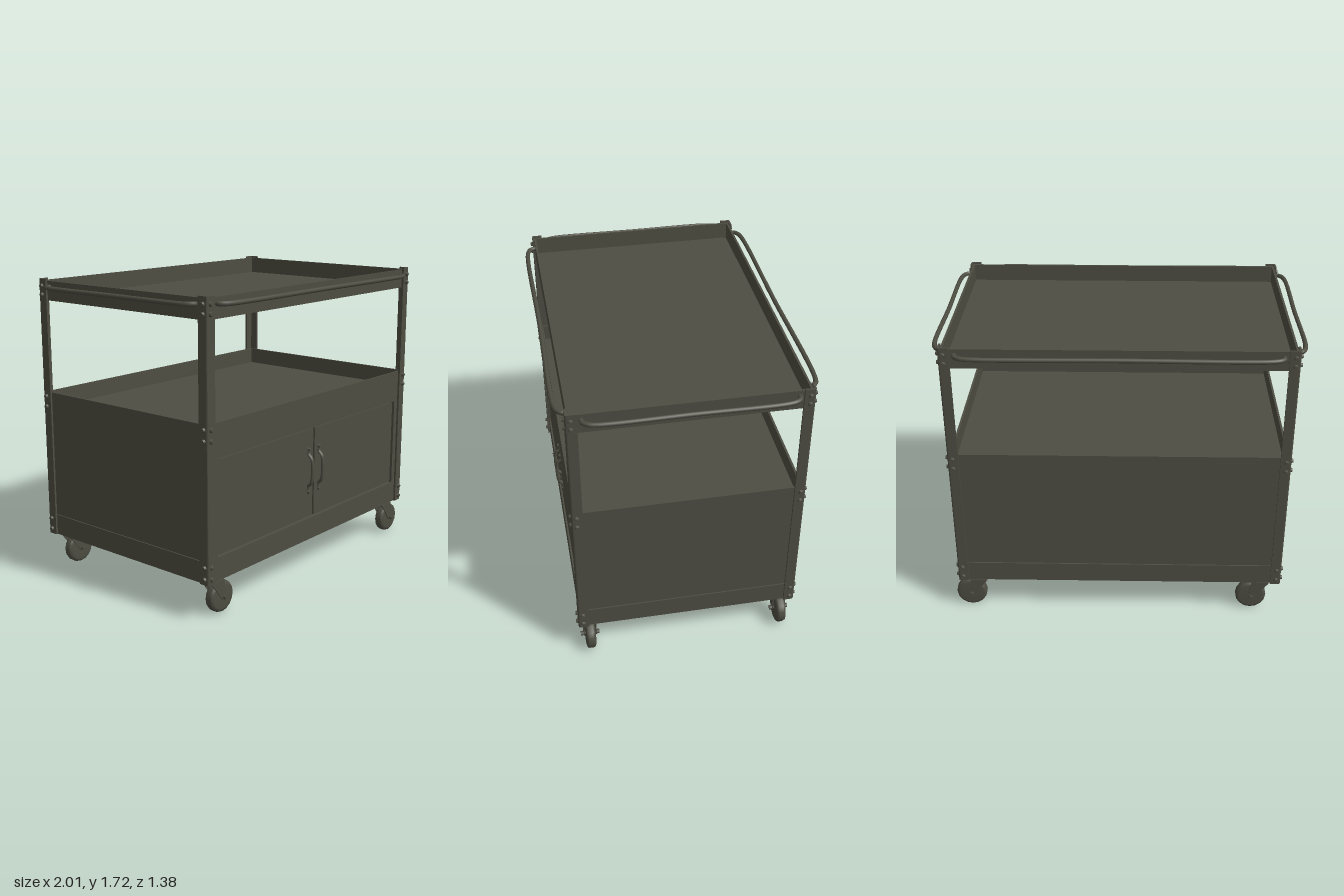
import * as THREE from 'three';

export function createModel() {
  const cart = new THREE.Group();
  cart.name = 'utilityCart';
  const steel = new THREE.MeshStandardMaterial({ color: 0x4d4d42 });
  steel.name = 'olive grey steel';

  const add = (name, geo, x = 0, y = 0, z = 0, parent = cart) => {
    const m = new THREE.Mesh(geo, steel);
    m.name = name;
    m.position.set(x, y, z);
    parent.add(m);
    return m;
  };
  const box = (name, w, h, d, x, y, z, parent) => add(name, new THREE.BoxGeometry(w, h, d), x, y, z, parent);

  const HX = 0.935, HZ = 0.62, T = 0.012;

  // Trays: four thin walls around a floor plate
  const tray = (name, y0, y1, floorY) => {
    const g = new THREE.Group();
    g.name = name;
    const h = y1 - y0, y = (y0 + y1) / 2;
    for (const s of [-1, 1]) {
      box('trayLongWall', HX * 2, h, T, 0, y, s * (HZ - T / 2), g);
      box('traySideWall', T, h, (HZ - T) * 2, s * (HX - T / 2), y, 0, g);
    }
    box('trayFloor', (HX - T) * 2, T, (HZ - T) * 2, 0, floorY, 0, g);
    cart.add(g);
  };
  tray('topTray', 1.6, 1.71, 1.606);
  tray('middleTray', 0.88, 1.07, 0.966);
  tray('bottomTray', 0.21, 0.33, 0.216);

  // Cabinet panels
  for (const s of [-1, 1]) box('sidePanel', T, 0.66, 1.22, s * 0.922, 0.605, 0);
  box('backPanel', 1.85, 0.66, T, 0, 0.605, -0.606);

  // Front frame with the door opening
  const frame = new THREE.Shape([[-0.925, 0.3], [0.925, 0.3], [0.925, 0.92], [-0.925, 0.92]].map(p => new THREE.Vector2(...p)));
  frame.holes.push(new THREE.Path([[-0.855, 0.34], [-0.855, 0.88], [0.855, 0.88], [0.855, 0.34]].map(p => new THREE.Vector2(...p))));
  add('doorFrame', new THREE.ExtrudeGeometry(frame, { depth: 0.03, bevelEnabled: false }), 0, 0, 0.589);
  box('doorBacking', 1.75, 0.58, 0.006, 0, 0.61, 0.59);

  // Doors and pull handles
  const bolt = (name, x, y, z, axis, sign, r = 0.015, parent = cart) => {
    const m = add(name, new THREE.CylinderGeometry(r * 0.65, r, 0.014, 8), x, y, z, parent);
    if (axis === 'x') m.rotation.z = -sign * Math.PI / 2;
    else m.rotation.x = sign * Math.PI / 2;
  };
  for (const s of [-1, 1]) {
    box('door', 0.838, 0.524, 0.016, s * 0.426, 0.61, 0.602);
    const pull = new THREE.CatmullRomCurve3([
      [0, 0.5, 0.608], [0, 0.535, 0.612], [0, 0.56, 0.634], [0, 0.7, 0.634], [0, 0.725, 0.612], [0, 0.76, 0.608],
    ].map(p => new THREE.Vector3(...p)));
    const handle = add('doorHandle', new THREE.TubeGeometry(pull, 30, 0.009, 6), s * 0.05, 0, 0);
    handle.scale.x = 1.4;
    for (const y of [0.5, 0.755]) bolt('handleBolt', s * 0.05, y, 0.617, 'z', 1, 0.013);
  }

  // Angle-section corner posts with bolts on both outer faces
  const angle = new THREE.Shape();
  angle.moveTo(0, 0.06);
  angle.lineTo(0, 0.012).quadraticCurveTo(0, 0, 0.012, 0);
  angle.lineTo(0.06, 0).lineTo(0.06, T).lineTo(T, T).lineTo(T, 0.06).closePath();
  const postGeo = new THREE.ExtrudeGeometry(angle, { depth: 1.51, bevelEnabled: false, curveSegments: 4 });
  postGeo.rotateX(-Math.PI / 2);
  const turns = { '-1,1': 0, '1,1': 1, '1,-1': 2, '-1,-1': 3 };
  for (const sx of [-1, 1]) for (const sz of [-1, 1]) {
    const post = add('cornerPost', postGeo, sx * 0.947, 0.21, sz * 0.632);
    post.rotation.y = turns[`${sx},${sz}`] * Math.PI / 2;
    for (const y of [1.68, 1.63, 1.045, 0.985, 0.305, 0.24]) {
      bolt('postBolt', sx * 0.92, y, sz * 0.637, 'z', sz);
      bolt('postBolt', sx * 0.952, y, sz * 0.605, 'x', sx);
    }
  }

  // Bent push rails on all four sides of the top tray
  const rail = (half, base, reach, turn) => {
    const right = [[half - 0.07, reach], [half - 0.02, reach - 0.014], [half, reach - 0.035], [half, base - 0.005]];
    const pts = [...right.slice().reverse().map(([x, z]) => [-x, z]), [0, reach], ...right];
    const path = new THREE.CatmullRomCurve3(pts.map(([x, z]) => new THREE.Vector3(x, 0, z)));
    add('pushRail', new THREE.TubeGeometry(path, 140, 0.013, 8), 0, 1.677, 0).rotation.y = turn;
  };
  for (const t of [0, Math.PI]) {
    rail(0.86, HZ, 0.672, t);
    rail(0.55, HX, 0.987, t + Math.PI / 2);
  }

  // Swivel casters, all trailing the same way
  const wheelGeo = new THREE.LatheGeometry(
    [[0, -0.028], [0.07, -0.028], [0.085, -0.023], [0.09, -0.012], [0.09, 0.012], [0.085, 0.023], [0.07, 0.028], [0, 0.028]]
      .map(p => new THREE.Vector2(...p)), 16);
  wheelGeo.rotateX(Math.PI / 2);
  const cheek = new THREE.Shape([[-0.05, 0.19], [0.05, 0.19], [0.07, 0.1], [0.058, 0.075], [0.04, 0.075], [-0.02, 0.15]].map(p => new THREE.Vector2(...p)));
  const cheekGeo = new THREE.ExtrudeGeometry(cheek, { depth: 0.006, bevelEnabled: false });
  for (const sx of [-1, 1]) for (const sz of [-1, 1]) {
    const caster = new THREE.Group();
    caster.name = 'caster';
    caster.position.set(sx * 0.835, 0, sz * 0.565);
    add('wheel', wheelGeo, 0.05, 0.09, 0, caster);
    for (const s of [-1, 1]) add('forkCheek', cheekGeo, 0, 0, s * 0.035 - 0.003, caster);
    box('forkCrown', 0.1, 0.008, 0.076, 0, 0.19, 0, caster);
    add('swivel', new THREE.CylinderGeometry(0.035, 0.035, 0.025, 12), 0, 0.2, 0, caster);
    add('axle', new THREE.CylinderGeometry(0.013, 0.013, 0.108, 8), 0.05, 0.09, 0, caster).rotation.x = Math.PI / 2;
    cart.add(caster);
  }
  return cart;
}
